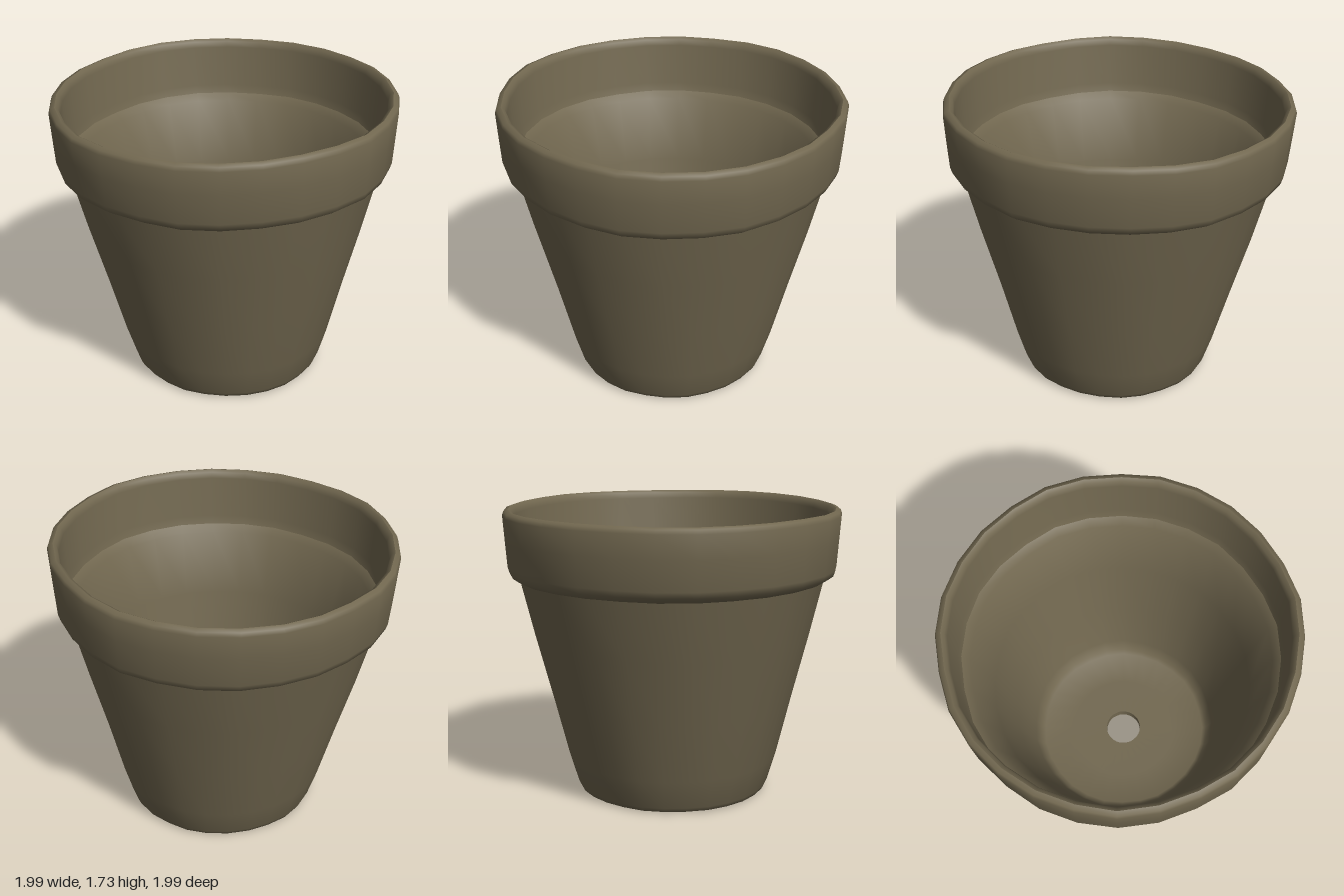
import * as THREE from 'three';
import { toCreasedNormals } from 'three/addons/utils/BufferGeometryUtils.js';

const SIDES = 28;

// Hand-thrown irregularity: slight lean, tilted rim and uneven radius
function warp(geometry) {
  const p = geometry.attributes.position;
  for (let i = 0; i < p.count; i++) {
    const x = p.getX(i), y = p.getY(i), z = p.getZ(i);
    const a = Math.atan2(z, x), r = Math.hypot(x, z), h = y / 1.72;
    const wobble = 1 + 0.005 * Math.sin(3 * a + 1 + 2 * h)
      + 0.004 * Math.sin(7 * a + 3 * h) + 0.003 * Math.cos(11 * a - 4 * h);
    p.setXYZ(i,
      x * wobble + 0.028 * (1 - h),
      y + x * (0.008 + 0.009 * h) - z * 0.007 * h + 0.003 * r * Math.sin(4 * a + 1) * h,
      z * wobble - 0.012 * (1 - h));
  }
  return toCreasedNormals(geometry, 0.9);
}

export function createModel() {
  const pot = new THREE.Group();
  pot.name = 'flowerPot';
  const clay = new THREE.MeshStandardMaterial({ color: 0x71674f });
  clay.name = 'brown clay';

  // Each part is a ring turned from a [radius, height] profile
  const turn = (name, profile) => {
    const points = profile.map(([r, y]) => new THREE.Vector2(r, y));
    const mesh = new THREE.Mesh(warp(new THREE.LatheGeometry(points, SIDES)), clay);
    mesh.name = name;
    pot.add(mesh);
  };

  // Underside, rounded foot and tapering outer wall
  turn('outerWall', [
    [0.11, 0.025], [0.43, 0.022], [0.47, 0.012], [0.54, 0.012], [0.565, 0.02], [0.578, 0.045],
    [0.63, 0.22], [0.72, 0.58], [0.82, 0.96], [0.905, 1.31],
  ]);
  // Thick collar with a rounded lip
  turn('rim', [
    [0.905, 1.31], [0.93, 1.322], [0.962, 1.345], [0.973, 1.38], [0.985, 1.55],
    [0.994, 1.685], [0.986, 1.708], [0.96, 1.718], [0.94, 1.705], [0.93, 1.67],
    [0.915, 1.42], [0.90, 1.37],
  ]);
  // Inner wall below the ledge, and the floor
  turn('innerWall', [
    [0.90, 1.37], [0.855, 1.33], [0.76, 0.95], [0.66, 0.55], [0.575, 0.2],
    [0.545, 0.11], [0.52, 0.095], [0.32, 0.09], [0.11, 0.088],
  ]);
  // Drain hole through the floor
  turn('drainHole', [[0.11, 0.088], [0.11, 0.025]]);

  return pot;
}
